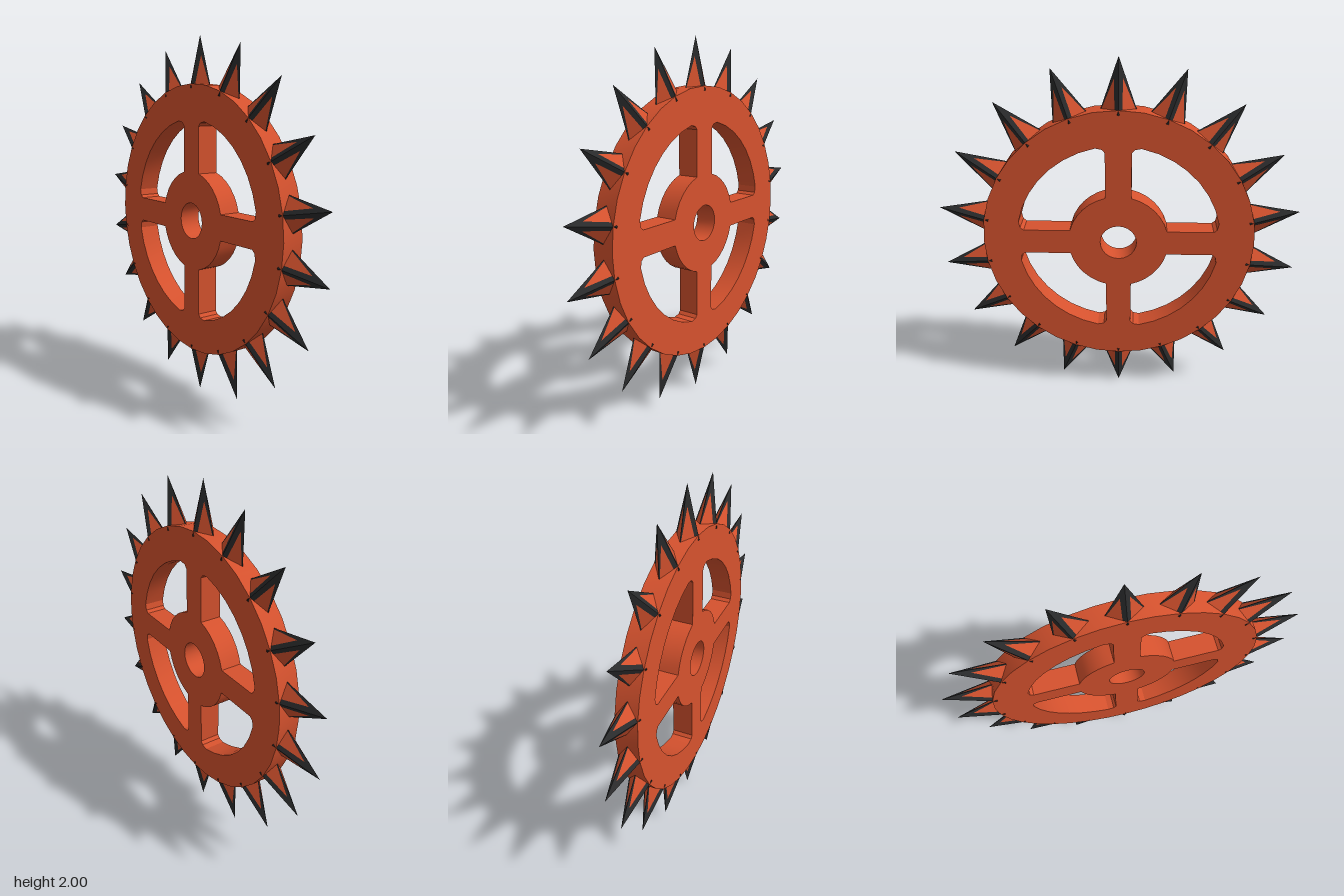
import * as THREE from 'three';
import { toCreasedNormals } from 'three/addons/utils/BufferGeometryUtils.js';

const red = new THREE.MeshStandardMaterial({ color: 0xd6522e });
red.name = 'rust red';
const dark = new THREE.MeshStandardMaterial({ color: 0x2a2b2c });
dark.name = 'dark edge';

const DEPTH = 0.12, SPIKES = 18;

// points along an arc, in order from angle a to angle b
function arc(r, a, b, n) {
  return Array.from({ length: n + 1 }, (_, i) => {
    const t = a + (b - a) * i / n;
    return new THREE.Vector2(r * Math.cos(t), r * Math.sin(t));
  });
}

// rim, hub and four spokes: a disc with an axle hole and four windows
function wheelGeometry() {
  const shape = new THREE.Shape(arc(0.745, 0, Math.PI * 2, 36).slice(0, -1));
  shape.holes.push(new THREE.Path(arc(0.1, 0, Math.PI * 2, 24).slice(0, -1)));
  const h = 0.07, q = Math.PI / 2;
  const inner = Math.asin(h / 0.275), outer = Math.atan2(0.12, 0.545);
  const win = [
    ...arc(0.275, q - inner, inner, 6),
    new THREE.Vector2(0.52, h), new THREE.Vector2(0.538, 0.085),
    ...arc(0.558, outer, q - outer, 7),
    new THREE.Vector2(0.085, 0.538), new THREE.Vector2(h, 0.52),
  ];
  for (let k = 0; k < 4; k++) {
    const c = new THREE.Vector2();
    shape.holes.push(new THREE.Path(win.map(p => p.clone().rotateAround(c, k * q))));
  }
  const geo = new THREE.ExtrudeGeometry(shape, { depth: DEPTH, bevelEnabled: false });
  geo.translate(0, 0, -DEPTH / 2);
  return toCreasedNormals(geo, 0.4);
}

// four-sided spike with a diamond base, split into red panels and dark edges
function spikeGeometries() {
  const panels = [], edges = [];
  const T = new THREE.Vector3(0, 1, 0);
  for (const sx of [1, -1]) for (const sz of [1, -1]) {
    const A = new THREE.Vector3(sx * 0.098, 0.72, 0);
    const B = new THREE.Vector3(0, 0.72, sz * 0.065);
    const a = A.clone().lerp(B, 0.04), b = A.clone().lerp(B, 0.8);
    const t = A.clone().lerp(B, 0.4).lerp(T, 0.62);
    const add = (list, p, q, r) => {
      for (const v of sx * sz > 0 ? [p, q, r] : [p, r, q]) list.push(v);
    };
    add(panels, a, t, b);
    add(edges, A, T, t);
    add(edges, A, t, a);
    add(edges, T, B, b);
    add(edges, T, b, t);
  }
  return [panels, edges].map(list => {
    const geo = new THREE.BufferGeometry().setFromPoints(list);
    geo.computeVertexNormals();
    return geo;
  });
}

export function createModel() {
  const model = new THREE.Group();
  model.name = 'spikedWheel';

  const wheel = new THREE.Mesh(wheelGeometry(), red);
  wheel.name = 'wheel';
  wheel.position.y = 1;
  model.add(wheel);

  // ring of spikes around the rim
  const [panelGeo, edgeGeo] = spikeGeometries();
  for (let i = 0; i < SPIKES; i++) {
    const spike = new THREE.Group();
    spike.name = 'spike' + (i + 1);
    const panels = new THREE.Mesh(panelGeo, red);
    panels.name = 'spikePanels';
    const edges = new THREE.Mesh(edgeGeo, dark);
    edges.name = 'spikeEdges';
    spike.add(panels, edges);
    spike.position.y = 1;
    spike.rotation.z = i * Math.PI * 2 / SPIKES;
    model.add(spike);
  }
  return model;
}
